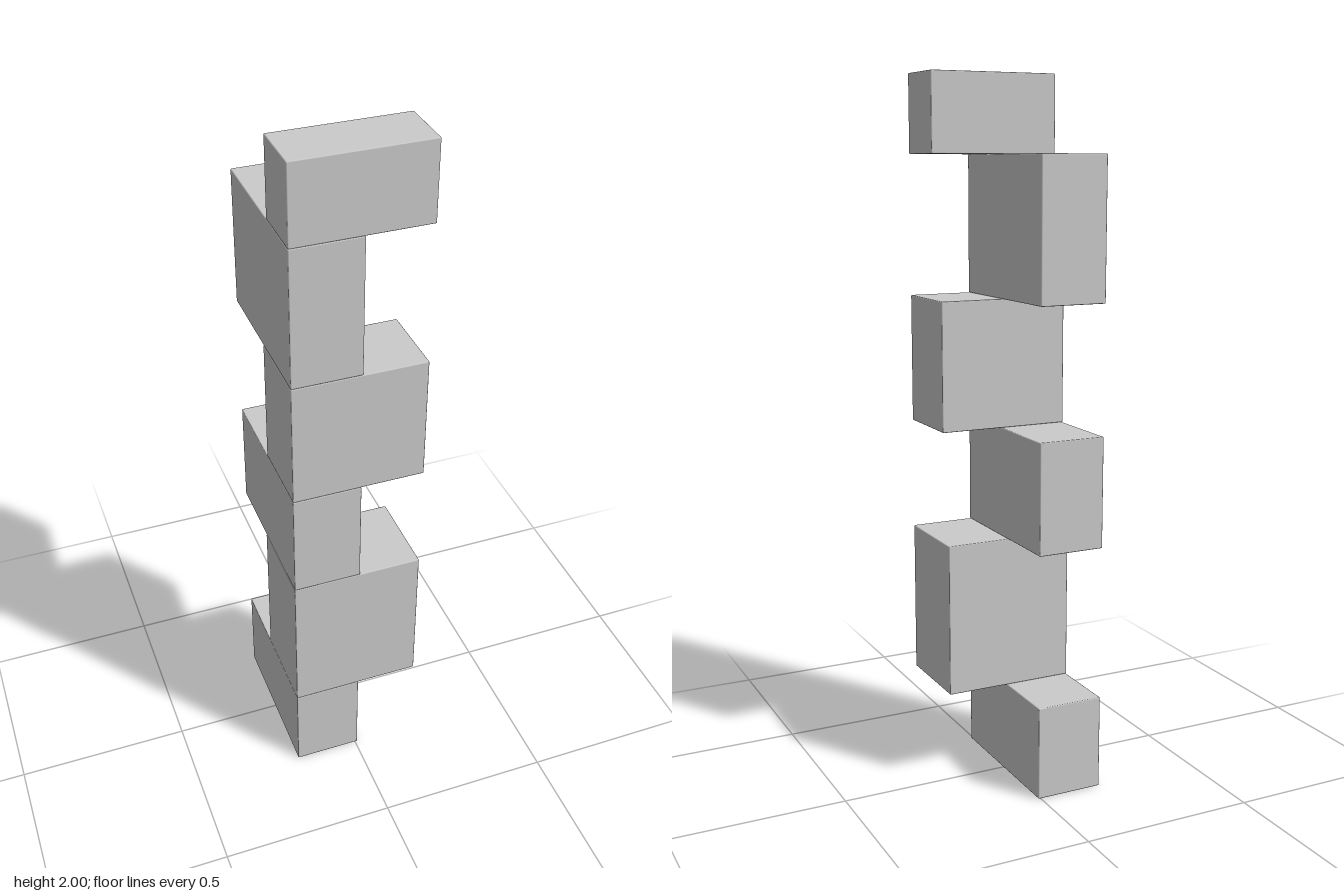
import * as THREE from 'three';
import { RoundedBoxGeometry } from 'three/addons/geometries/RoundedBoxGeometry.js';

const LEFT_FACE = -0.188, FRONT_FACE = 0.229, BEVEL = 0.003;

export function createModel() {
  const tower = new THREE.Group();
  tower.name = 'blockTower';
  const material = new THREE.MeshStandardMaterial({ color: 0xcccccc });

  // Blocks stacked from the ground up, all flush at one side and the front:
  // [name, bottom, top, far x, back z]
  const blocks = [
    ['deepBlock1', 0, 0.27, 0.007, -0.229],
    ['wideBlock1', 0.27, 0.709, 0.188, -0.029],
    ['deepBlock2', 0.709, 1.025, 0.007, -0.229],
    ['wideBlock2', 1.025, 1.388, 0.188, 0.007],
    ['deepBlock3', 1.388, 1.781, 0.007, -0.229],
    ['topBlock', 1.781, 2, 0.188, 0.066],
  ];

  for (const [name, bottom, top, farX, backZ] of blocks) {
    // Slightly eased edges
    const geometry = new RoundedBoxGeometry(farX - LEFT_FACE, top - bottom, FRONT_FACE - backZ, 1, BEVEL);
    const block = new THREE.Mesh(geometry, material);
    block.name = name;
    block.position.set((farX + LEFT_FACE) / 2, (top + bottom) / 2, (FRONT_FACE + backZ) / 2);
    tower.add(block);
  }
  return tower;
}
